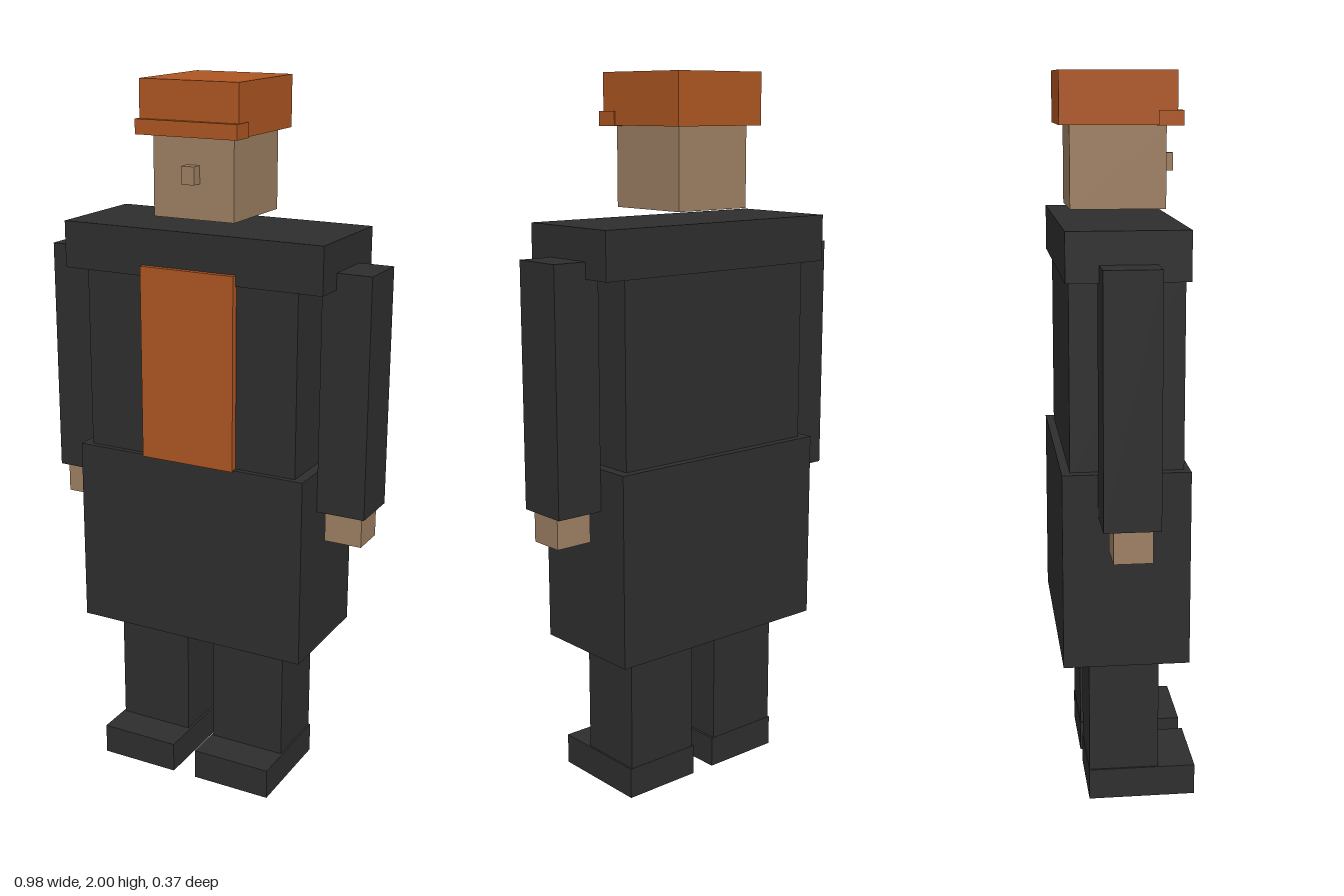
import * as THREE from 'three';

function material(name, color) {
  const m = new THREE.MeshStandardMaterial({ color });
  m.name = name;
  return m;
}

export function createModel() {
  const model = new THREE.Group();
  model.name = 'blockFigure';
  const charcoal = material('charcoal', 0x2e2e2e);
  const orange = material('orange', 0xae5622);
  const skin = material('skin', 0x9e7f63);

  // Box given by its extents on each axis
  function block(name, mat, [x0, x1], [y0, y1], [z0, z1]) {
    const mesh = new THREE.Mesh(new THREE.BoxGeometry(x1 - x0, y1 - y0, z1 - z0), mat);
    mesh.position.set((x0 + x1) / 2, (y0 + y1) / 2, (z0 + z1) / 2);
    mesh.name = name;
    model.add(mesh);
  }

  // The same box on the left (+x) and right (-x)
  function pair(name, mat, [x0, x1], y, z) {
    block('left' + name, mat, [x0, x1], y, z);
    block('right' + name, mat, [-x1, -x0], y, z);
  }

  // Head and cap
  block('head', skin, [-0.12, 0.12], [1.64, 1.862], [-0.143, 0.115]);
  block('nose', skin, [-0.019, 0.019], [1.735, 1.783], [0.11, 0.147]);
  block('cap', orange, [-0.146, 0.146], [1.86, 2], [-0.172, 0.141]);
  block('capBrim', orange, [-0.151, 0.149], [1.858, 1.898], [0.09, 0.157]);

  // Upper body
  block('shoulders', charcoal, [-0.39, 0.39], [1.48, 1.61], [-0.177, 0.144]);
  block('torso', charcoal, [-0.32, 0.32], [0.96, 1.49], [-0.164, 0.14]);
  block('shirtFront', orange, [-0.141, 0.141], [0.968, 1.51], [0.13, 0.16]);
  block('coatSkirt', charcoal, [-0.349, 0.349], [0.434, 0.972], [-0.187, 0.156]);

  // Limbs
  pair('Arm', charcoal, [0.35, 0.489], [0.856, 1.525], [-0.092, 0.058]);
  pair('Hand', skin, [0.367, 0.475], [0.767, 0.858], [-0.065, 0.038]);
  pair('Leg', charcoal, [0.043, 0.266], [0.08, 0.44], [-0.111, 0.083]);
  pair('Shoe', charcoal, [0.036, 0.271], [0, 0.088], [-0.112, 0.187]);

  return model;
}
